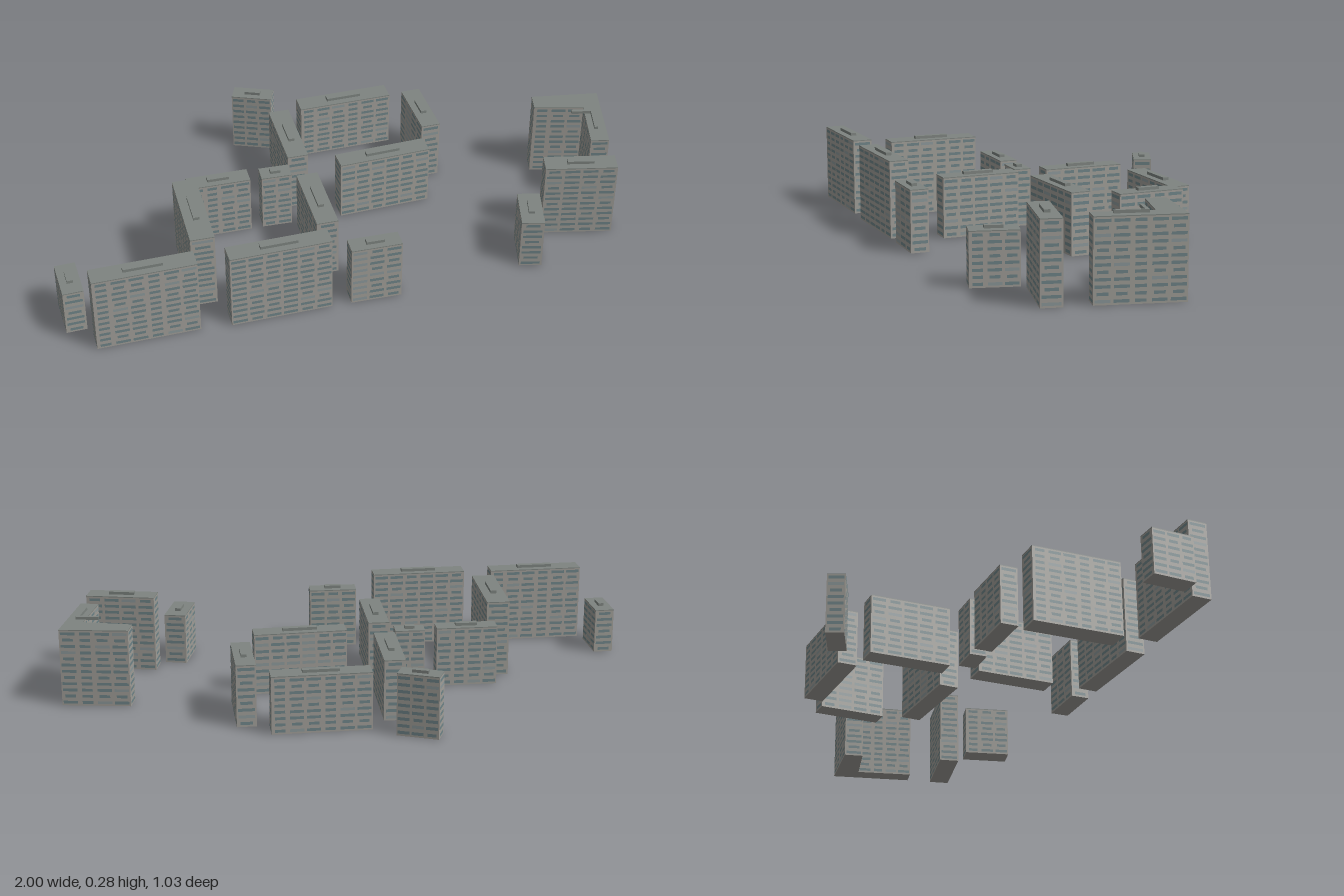
import * as THREE from 'three';
import { mergeGeometries } from 'three/addons/utils/BufferGeometryUtils.js';

const paint = (color) => new THREE.MeshStandardMaterial({ color });
const wallMat = paint(0xa09e98);
const roofMat = paint(0x7e8480);
const glassMat = paint(0x6f8488);
const paleGlassMat = paint(0x8c989a);

const FLOOR = 0.0225;
const ROOF = 0.003;

// Prism over a footprint of [x, z] corners, from y0 to y1
function prism(name, corners, y0, y1, material) {
  const shape = new THREE.Shape(corners.map(([x, z]) => new THREE.Vector2(x, -z)));
  const geo = new THREE.ExtrudeGeometry(shape, { depth: y1 - y0, bevelEnabled: false });
  geo.rotateX(-Math.PI / 2).translate(0, y0, 0);
  const mesh = new THREE.Mesh(geo, material);
  mesh.name = name;
  return mesh;
}

// Corners of a turned rectangle; angle runs from +x towards +z
function rectangle(x, z, length, width, degrees) {
  const a = THREE.MathUtils.degToRad(degrees);
  const c = Math.cos(a), s = Math.sin(a);
  return [[-1, -1], [1, -1], [1, 1], [-1, 1]].map(([u, v]) => {
    const l = u * length / 2, w = v * width / 2;
    return [x + l * c - w * s, z + l * s + w * c];
  });
}

// Rows of ribbon windows on every wall, in bays
function windows(corners, height, seed) {
  const clear = [], pale = [];
  const floors = Math.round(height / FLOOR);
  const step = height / floors;
  corners.forEach(([px, pz], side) => {
    const [qx, qz] = corners[(side + 1) % corners.length];
    const dx = qx - px, dz = qz - pz;
    const len = Math.hypot(dx, dz);
    const nx = dz / len, nz = -dx / len;
    const bays = Math.max(1, Math.round(len / 0.055));
    const bay = len / bays;
    for (let f = 0; f < floors; f++) {
      for (let b = 0; b < bays; b++) {
        const pick = (f * 7 + b * 5 + side * 3 + seed * 11 + f * b) % 9;
        const w = bay * (pick % 3 === 0 ? 0.62 : 0.84);
        const t = (b + 0.5) / bays;
        const pane = new THREE.PlaneGeometry(w, step * 0.45);
        pane.rotateY(Math.atan2(nx, nz));
        pane.translate(px + dx * t + nx * 0.0008, (f + 0.52) * step, pz + dz * t + nz * 0.0008);
        (pick === 4 ? pale : clear).push(pane);
      }
    }
  });
  const group = new THREE.Group();
  group.name = 'windows';
  for (const [name, panes, mat] of [['glass', clear, glassMat], ['paleGlass', pale, paleGlassMat]]) {
    if (!panes.length) continue;
    const mesh = new THREE.Mesh(mergeGeometries(panes), mat);
    mesh.name = name;
    group.add(mesh);
  }
  return group;
}

function building(name, corners, height, housing, seed) {
  const group = new THREE.Group();
  group.name = name;
  group.add(
    prism('walls', corners, 0, height - ROOF, wallMat),
    prism('roof', corners, height - ROOF, height, roofMat),
    prism('roofHousing', housing, height, height + 0.01, roofMat),
    windows(corners, height - ROOF, seed),
  );
  return group;
}

// Slab blocks: x, z, length, width, angle, height, roof housing length
const blocks = [
  [-0.157, -0.46, 0.142, 0.062, 24, 0.215, 0.055],
  [0.155, -0.365, 0.332, 0.068, 0, 0.2, 0.123],
  [-0.099, -0.187, 0.283, 0.072, 91.5, 0.212, 0.1],
  [0.395, -0.203, 0.23, 0.066, 90, 0.215, 0.075],
  [-0.398, 0.003, 0.212, 0.062, 1.5, 0.21, 0.075],
  [-0.2, 0.01, 0.103, 0.06, 3, 0.205, 0.035],
  [0.182, 0.017, 0.321, 0.068, -1.5, 0.215, 0.12],
  [-0.53, 0.217, 0.32, 0.08, 92, 0.27, 0.12],
  [-0.105, 0.2, 0.275, 0.073, 91.5, 0.212, 0.105],
  [-0.964, 0.318, 0.148, 0.068, 89, 0.16, 0.05],
  [-0.747, 0.462, 0.337, 0.068, 0, 0.27, 0.128],
  [-0.31, 0.473, 0.337, 0.067, 0, 0.27, 0.125],
  [0.008, 0.481, 0.17, 0.063, 2, 0.215, 0.06],
  [0.575, 0.417, 0.16, 0.076, 105.4, 0.18, 0.06],
  [0.78, 0.335, 0.243, 0.07, 14, 0.27, 0.09],
];

export function createModel() {
  const model = new THREE.Group();
  model.name = 'apartmentBlocks';
  blocks.forEach(([x, z, length, width, angle, height, housing], i) => {
    model.add(building(
      `slabBlock${i + 1}`,
      rectangle(x, z, length, width, angle),
      height,
      rectangle(x, z, housing, 0.02, angle),
      i,
    ));
  });

  // Corner block with an L-shaped plan
  const plan = [[0.768, -0.078], [0.998, -0.035], [0.925, 0.243], [0.864, 0.228], [0.917, 0.035], [0.752, -0.013]];
  const housing = [[0.864, 0.05], [0.941, 0.066], [0.913, 0.172], [0.902, 0.169], [0.927, 0.076], [0.862, 0.061]];
  model.add(building('cornerBlock', plan, 0.27, housing, 4));
  return model;
}
